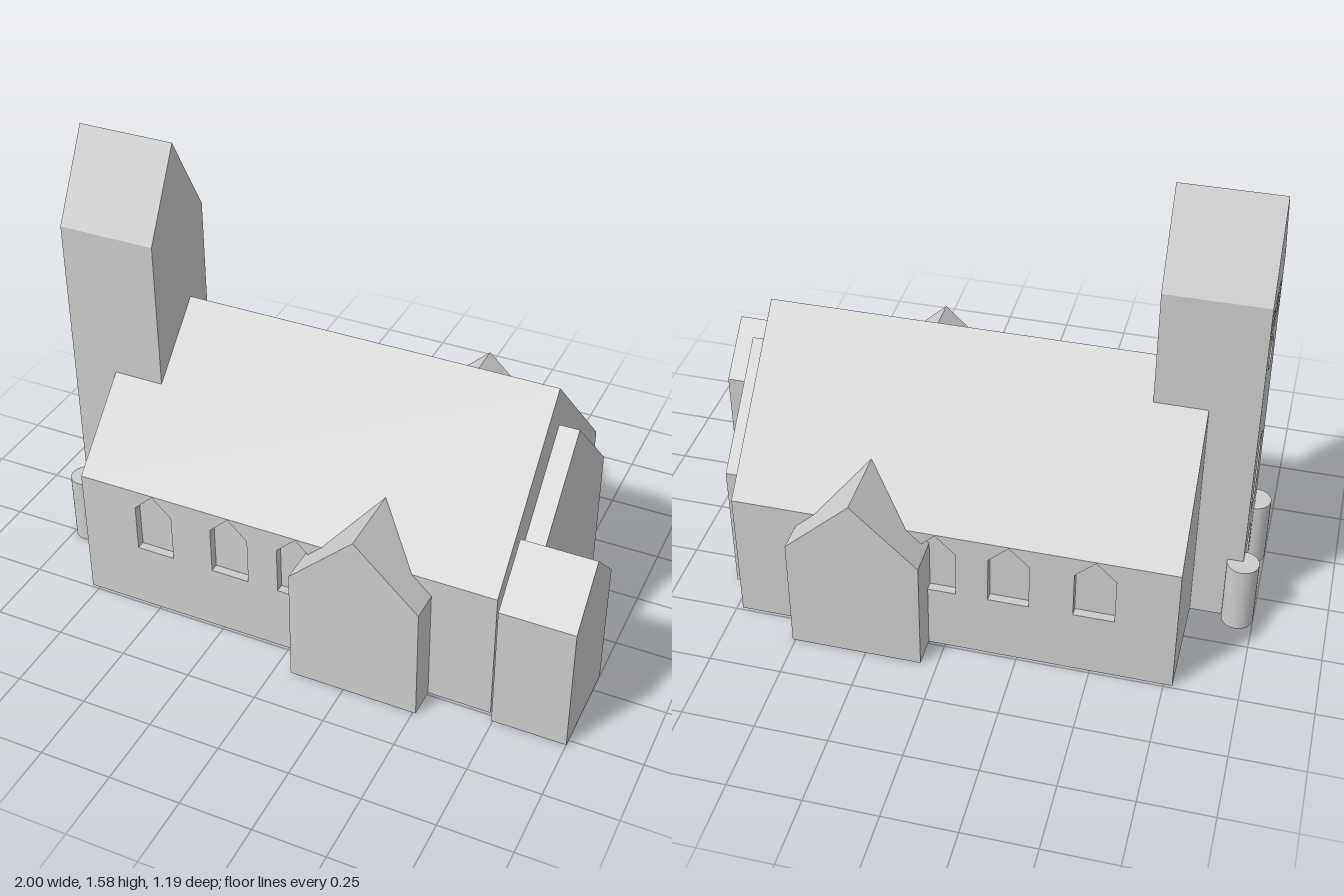
import * as THREE from 'three';

const stone = new THREE.MeshStandardMaterial({ color: 0xcccccc });
stone.name = 'paleStone';

// Gabled outline (house shape) between a and b; "door" cuts a pointed notch out of the base
function gable(a, b, eave, ridge, base = 0, door = null) {
  const m = (a + b) / 2;
  const pts = [[a, base]];
  if (door) {
    const { w, side, top } = door;
    pts.push([m - w, base], [m - w, side], [m, top], [m + w, side], [m + w, base]);
  }
  pts.push([b, base], [b, eave], [m, ridge], [a, eave]);
  return pts;
}

const toShape = pts => new THREE.Shape(pts.map(p => new THREE.Vector2(...p)));
const toPath = pts => new THREE.Path(pts.map(p => new THREE.Vector2(...p)));
const rect = (cx, w, y0, y1) =>
  [[cx - w, y0], [cx + w, y0], [cx + w, y1], [cx - w, y1]];

function mesh(geometry, name) {
  const m = new THREE.Mesh(geometry, stone);
  m.name = name;
  return m;
}

// Outline in x/y, swept from z0 to z1
function alongZ(shape, z0, z1, name) {
  const g = new THREE.ExtrudeGeometry(shape, { depth: z1 - z0, bevelEnabled: false, curveSegments: 16 });
  g.translate(0, 0, z0);
  return mesh(g, name);
}

// Outline in z/y, swept from x0 to x1
function alongX(shape, x0, x1, name) {
  const g = new THREE.ExtrudeGeometry(shape, { depth: x1 - x0, bevelEnabled: false, curveSegments: 16 });
  g.rotateY(-Math.PI / 2);
  g.translate(x1, 0, 0);
  return mesh(g, name);
}

export function createModel() {
  const church = new THREE.Group();
  church.name = 'church';

  // Nave: inner core carrying the full-width roof
  const half = 0.49, inner = 0.46, eave = 0.485;
  const core = [[-inner, 0], [inner, 0], [inner, eave], [half, eave],
    [0, 0.975], [-half, eave], [-inner, eave]];
  church.add(alongX(toShape(core), -0.78, 0.73, 'nave'));

  // Side walls pierced by pointed windows, leaving shallow niches
  for (const side of [1, -1]) {
    const wall = toShape([[-0.78, 0], [0.73, 0], [0.73, eave], [-0.78, eave]]);
    for (const x of [-0.505, -0.218, 0.03]) {
      wall.holes.push(toPath(gable(x - 0.069, x + 0.069, 0.415, 0.481, 0.242)));
    }
    const z0 = side > 0 ? inner : -half;
    church.add(alongZ(wall, z0, z0 + 0.03, side > 0 ? 'frontWall' : 'backWall'));
  }

  // Cross gables on both sides
  church.add(alongZ(toShape(gable(0.057, 0.51, 0.42, 0.635)), -0.595, 0.595, 'transept'));

  // Low east end and the small side room
  church.add(alongX(toShape(gable(-0.36, 0.315, 0.485, 0.82)), 0.7, 0.8, 'chancel'));
  church.add(alongX(toShape(gable(0.178, 0.522, 0.465, 0.63)), 0.745, 1, 'vestry'));

  // Tower: solid body plus two facade layers forming a stepped doorway
  const tower = new THREE.Group();
  tower.name = 'tower';
  const a = -0.11, b = 0.225, mid = (a + b) / 2;
  tower.add(alongX(toShape(gable(a, b, 1.28, 1.58)), -0.885, -0.6, 'towerBody'));
  tower.add(alongX(toShape(gable(a, b, 1.28, 1.58, 0, { w: 0.04, side: 0.2, top: 0.25 })),
    -0.915, -0.885, 'innerDoorway'));
  const facade = toShape(gable(a, b, 1.28, 1.58, 0, { w: 0.07, side: 0.22, top: 0.29 }));
  facade.holes.push(toPath(rect(mid, 0.052, 0.38, 0.66)));
  for (const dz of [-0.085, 0, 0.085]) {
    facade.holes.push(toPath(rect(mid + dz, 0.026, 1.115, 1.22)));
  }
  const rose = new THREE.Path();
  rose.absarc(mid, 1.005, 0.055, 0, Math.PI * 2, true);
  facade.holes.push(rose);
  tower.add(alongX(facade, -0.945, -0.915, 'towerFacade'));

  // Round turrets at the tower's outer corners
  for (const z of [-0.115, 0.23]) {
    const t = mesh(new THREE.CylinderGeometry(0.055, 0.055, 0.255, 32), 'turret');
    t.position.set(-0.945, 0.1275, z);
    tower.add(t);
  }
  church.add(tower);
  return church;
}
